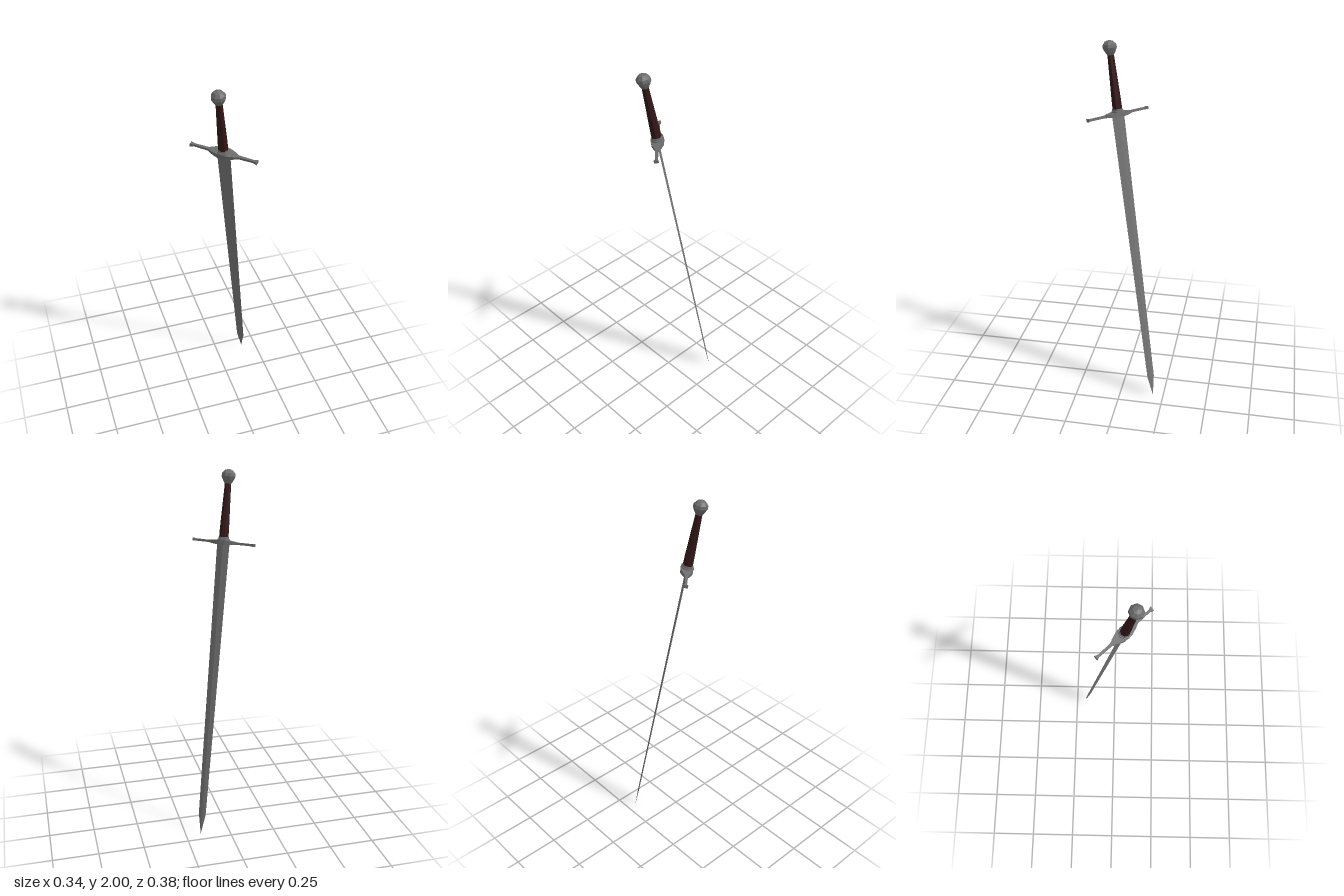
import * as THREE from 'three';

// Skin rings of equal point count (counter-clockwise seen from the far end) and cap both ends
function loft(rings) {
  const pos = [];
  const n = rings[0].length;
  const tri = (a, b, c) => pos.push(...a, ...b, ...c);
  for (let i = 0; i < rings.length - 1; i++) {
    const a = rings[i], b = rings[i + 1];
    for (let j = 0; j < n; j++) {
      const k = (j + 1) % n;
      tri(a[j], a[k], b[k]);
      tri(a[j], b[k], b[j]);
    }
  }
  const first = rings[0], last = rings[rings.length - 1];
  for (let j = 1; j < n - 1; j++) {
    tri(first[0], first[j + 1], first[j]);
    tri(last[0], last[j], last[j + 1]);
  }
  const g = new THREE.BufferGeometry();
  g.setAttribute('position', new THREE.Float32BufferAttribute(pos, 3));
  g.computeVertexNormals();
  return g;
}

// Eight-sided turned part from [radius, height] pairs, faceted
function turned(profile) {
  const g = new THREE.LatheGeometry(profile.map(([r, y]) => new THREE.Vector2(r, y)), 8).toNonIndexed();
  g.computeVertexNormals();
  return g;
}

export function createModel() {
  const steel = new THREE.MeshStandardMaterial({ name: 'blade steel', color: 0x747474 });
  const iron = new THREE.MeshStandardMaterial({ name: 'fitting iron', color: 0x6c6d6c });
  const leather = new THREE.MeshStandardMaterial({ name: 'grip leather', color: 0x321718 });

  const sword = new THREE.Group();
  sword.name = 'sword';
  const add = (name, geometry, material) => {
    const m = new THREE.Mesh(geometry, material);
    m.name = name;
    sword.add(m);
  };

  // Blade: thin diamond section, tip at the local origin, [height, half width, half thickness]
  const blade = [[0, 0.0005, 0.0003], [0.115, 0.0225, 0.0035], [1.645, 0.038, 0.006]];
  add('blade', loft(blade.map(([y, w, t]) => [[w, y, 0], [0, y, -t], [-w, y, 0], [0, y, t]])), steel);

  // Crossguard: slim bar, wide in the middle, flared ends, [reach, half depth, half height]
  const half = [[0.188, 0.0125, 0.008], [0.17, 0.006, 0.006], [0.085, 0.008, 0.006],
    [0.058, 0.021, 0.009], [0.025, 0.032, 0.012]];
  const bar = [...half.map(([x, d, h]) => [-x, d, h]), ...half.slice().reverse()];
  const guardY = 1.65;
  add('crossguard', loft(bar.map(([x, d, h]) =>
    [[x, guardY - h, -d], [x, guardY + h, -d], [x, guardY + h, d], [x, guardY - h, d]])), iron);

  // Stepped collar between guard and grip
  add('collar', turned([[0, 1.655], [0.035, 1.655], [0.034, 1.668], [0.029, 1.669], [0.028, 1.679], [0, 1.679]]), iron);

  // Tapered grip
  add('grip', turned([[0, 1.67], [0.026, 1.67], [0.0255, 1.72], [0.021, 1.85], [0.017, 1.97], [0, 1.97]]), leather);

  // Faceted pommel
  add('pommel', turned([[0, 1.957], [0.018, 1.957], [0.029, 1.975], [0.038, 1.994],
    [0.036, 2.011], [0.022, 2.027], [0, 2.034]]), iron);

  // Lean the sword: local y runs tip to pommel, local x runs along the guard
  const up = new THREE.Vector3(-0.235, 1.965, 0.29).normalize();
  const across = new THREE.Vector3(1, 0, 1).normalize();
  across.addScaledVector(up, -across.dot(up)).normalize();
  const facing = new THREE.Vector3().crossVectors(across, up);
  sword.quaternion.setFromRotationMatrix(new THREE.Matrix4().makeBasis(across, up, facing));
  sword.position.set(0.165, 0, -0.19);

  const model = new THREE.Group();
  model.add(sword);
  return model;
}
